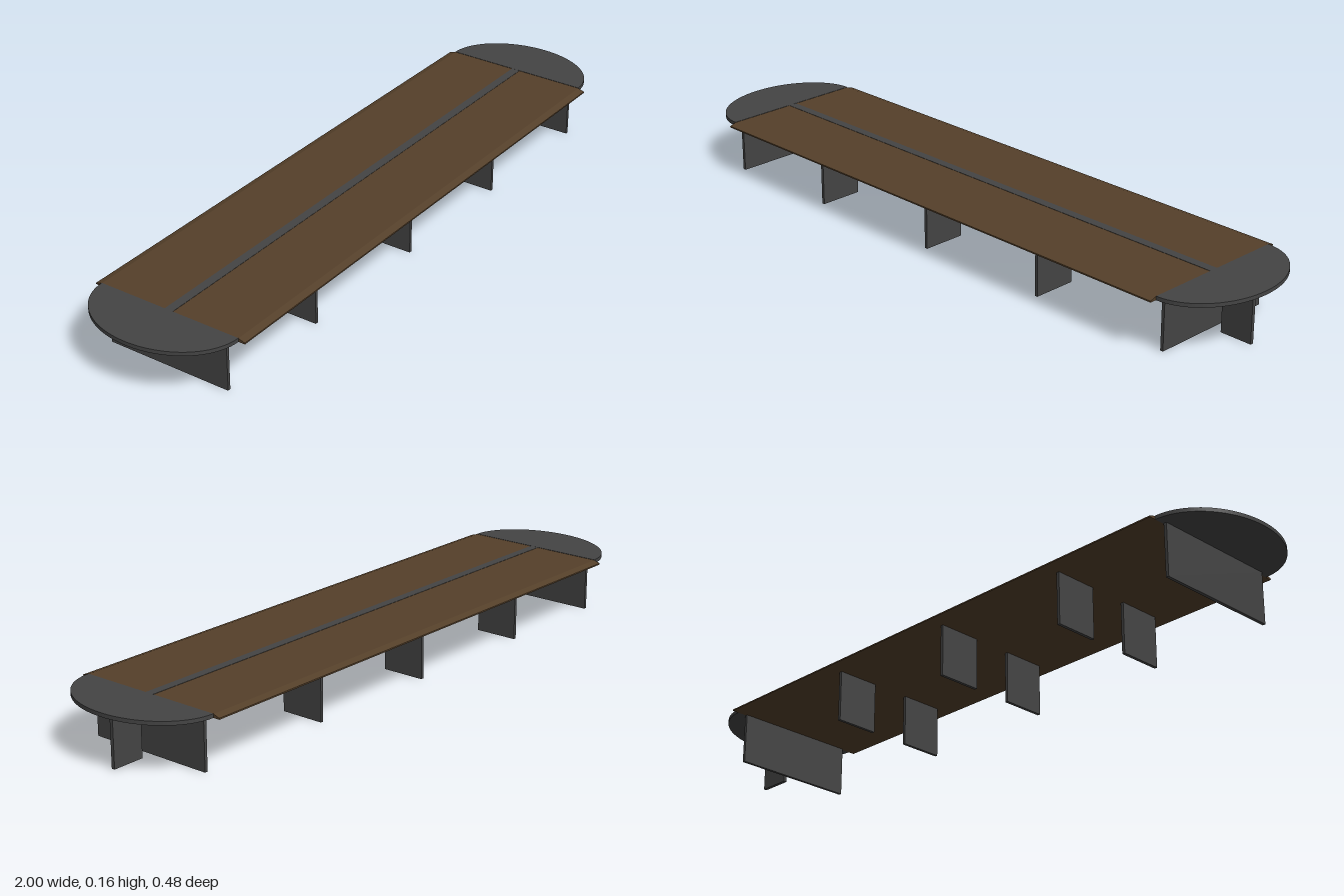
import * as THREE from 'three';

export function createModel() {
  const table = new THREE.Group();
  table.name = 'conferenceTable';

  const wood = new THREE.MeshStandardMaterial({ color: 0x55402a });
  wood.name = 'brown wood';
  const grey = new THREE.MeshStandardMaterial({ color: 0x444444 });
  grey.name = 'dark grey';

  const BOTTOM = 0.151, TOP = 0.162, HALF = 0.83, THICK = 0.009;

  function add(name, geometry, material, x = 0, y = 0, z = 0) {
    const mesh = new THREE.Mesh(geometry, material);
    mesh.name = name;
    mesh.position.set(x, y, z);
    table.add(mesh);
    return mesh;
  }

  // Upright support panel standing on the floor
  const panel = (name, x, z, width, depth) =>
    add(name, new THREE.BoxGeometry(width, BOTTOM, depth), grey, x, BOTTOM / 2, z);

  // Wooden top halves: long boards with a sloping outer edge
  for (const s of [1, -1]) {
    const section = new THREE.Shape([
      [0, BOTTOM], [0.24, BOTTOM], [0.24, 0.155], [0.22, 0.161], [0, 0.161],
    ].map(([z, y]) => new THREE.Vector2(-z * s, y)));
    const board = new THREE.ExtrudeGeometry(section, { depth: 2 * HALF, bevelEnabled: false });
    board.rotateY(Math.PI / 2);
    add(s > 0 ? 'frontBoard' : 'backBoard', board, wood, -HALF);
  }

  // Cable channel strip along the middle
  add('centreStrip', new THREE.BoxGeometry(2 * HALF, 0.002, 0.026), grey, 0, 0.1608, 0);

  // Half-elliptical end leaves
  for (const s of [1, -1]) {
    const shape = new THREE.Shape();
    shape.absellipse(0, 0, 1 - HALF, 0.22, -Math.PI / 2, Math.PI / 2, false, 0);
    shape.closePath();
    const leaf = new THREE.ExtrudeGeometry(shape, {
      depth: TOP - BOTTOM, bevelEnabled: false, curveSegments: 32,
    });
    leaf.rotateX(-Math.PI / 2);
    if (s < 0) leaf.rotateY(Math.PI);
    add(s > 0 ? 'leftEndLeaf' : 'rightEndLeaf', leaf, grey, s * HALF, BOTTOM, 0);
  }

  // Full-width end panels and the fin under the left leaf
  panel('rightEndPanel', -0.836, 0, THICK, 0.38);
  panel('leftEndPanel', 0.829, 0, THICK, 0.38);
  panel('endFin', 0.914, 0, 0.096, 0.01);

  // Pairs of short legs along both sides
  for (const x of [-0.468, -0.03, 0.394]) {
    for (const s of [1, -1]) {
      panel(s > 0 ? 'frontLeg' : 'backLeg', x, s * 0.125, THICK, 0.13);
    }
  }

  return table;
}
